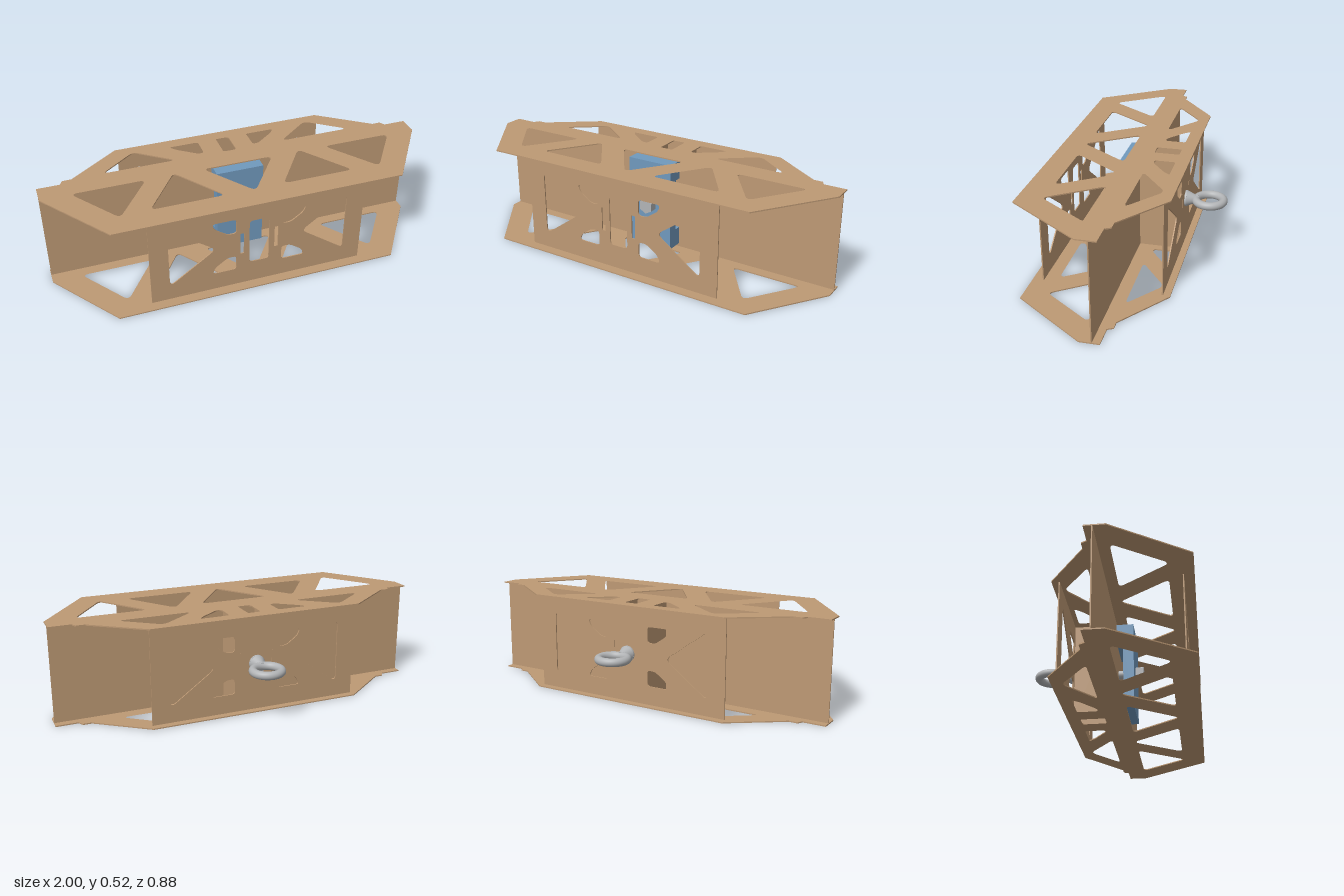
import * as THREE from 'three';

const wood = new THREE.MeshStandardMaterial({ color: 0xbd9974 });
wood.name = 'tan panel';
const blue = new THREE.MeshStandardMaterial({ color: 0x7099bd });
blue.name = 'blue bracket';
const steel = new THREE.MeshStandardMaterial({ color: 0xb2b4b6 });
steel.name = 'steel';

const T = 0.006; // sheet thickness
const H = 0.516; // overall height
const CY = H / 2; // bolt axis height

// Closed polygon with each corner cut back by d and rounded
function rounded(points, d) {
  const path = new THREE.Path();
  const pts = points.map(p => new THREE.Vector2(...p));
  pts.forEach((p, i) => {
    const prev = pts[(i + pts.length - 1) % pts.length];
    const next = pts[(i + 1) % pts.length];
    const a = p.clone().add(prev.clone().sub(p).setLength(d));
    const b = p.clone().add(next.clone().sub(p).setLength(d));
    if (i === 0) path.moveTo(a.x, a.y); else path.lineTo(a.x, a.y);
    path.quadraticCurveTo(p.x, p.y, b.x, b.y);
  });
  path.closePath();
  return path;
}

const mirrorX = pts => pts.map(([x, y]) => [-x, y]);
const mirrorY = pts => pts.map(([x, y]) => [x, H - y]);
const rect = (x0, y0, x1, y1) => [[x0, y0], [x1, y0], [x1, y1], [x0, y1]];

function sheet(outline, holes, depth = T) {
  const shape = new THREE.Shape(outline.map(p => new THREE.Vector2(...p)));
  shape.holes = holes;
  return new THREE.ExtrudeGeometry(shape, { depth, bevelEnabled: false, curveSegments: 6 });
}

function add(parent, name, geometry, material, x = 0, y = 0, z = 0) {
  const mesh = new THREE.Mesh(geometry, material);
  mesh.name = name;
  mesh.position.set(x, y, z);
  parent.add(mesh);
  return mesh;
}

// Horizontal truss plate, drawn in x and z
function plateGeometry() {
  const half = [[0.735, 0.437], [1, 0.065], [1, -0.034], [0.885, -0.034],
    [0.87, -0.062], [0.825, -0.062], [0.565, -0.256]];
  const outline = [...half, ...mirrorX(half).reverse()];
  const holes = [
    rounded([[-0.185, 0.065], [0.185, 0.065], [0, 0.325]], 0.035),
    rounded(rect(-0.035, -0.19, 0.035, -0.06), 0.012),
  ];
  const sideHoles = [
    [[0.48, 0.065], [0.85, 0.065], [0.665, 0.325]],
    [[0.15, 0.313], [0.52, 0.313], [0.335, 0.05]],
    [[0.29, -0.062], [0.67, -0.062], [0.48, -0.208]],
    [[0.135, -0.19], [0.29, -0.19], [0.26, -0.155], [0.165, -0.083], [0.135, -0.083]],
  ];
  for (const pts of sideHoles) {
    const d = pts.length === 3 ? 0.035 : 0.014;
    holes.push(rounded(pts, d), rounded(mirrorX(pts), d));
  }
  return sheet(outline, holes).rotateX(Math.PI / 2);
}

// Upright panel with triangular and corner cutouts
function panelGeometry(centreSlot) {
  const tri = [[0.465, 0.43], [0.465, 0.086], [0.225, CY]];
  const corner = [[0.12, 0.412], [0.245, 0.412], [0.23, 0.375], [0.165, 0.33], [0.12, 0.33]];
  const holes = [
    rounded(tri, 0.035), rounded(mirrorX(tri), 0.035),
  ];
  for (const pts of [corner, mirrorX(corner)]) {
    holes.push(rounded(pts, 0.018), rounded(mirrorY(pts), 0.018));
  }
  if (centreSlot) {
    holes.push(rounded(rect(-0.052, 0.13, 0.052, 0.386), 0.02));
    for (const s of [-0.09, 0.09]) {
      holes.push(rounded(rect(s - 0.01, 0.196, s + 0.01, 0.32), 0.002));
    }
  }
  return sheet(rect(-0.56, T, 0.56, H - T), holes);
}

export function createModel() {
  const model = new THREE.Group();
  model.name = 'trussBox';

  // Top and bottom plates
  const plate = plateGeometry();
  add(model, 'topPlate', plate, wood, 0, H, 0);
  add(model, 'bottomPlate', plate, wood, 0, T, 0);

  // Upright panels
  add(model, 'frontPanel', panelGeometry(true), wood, 0, 0, 0.38);
  add(model, 'backPanel', panelGeometry(false), wood, 0, 0, -0.221);
  add(model, 'middlePanel', new THREE.BoxGeometry(1.998, H - 2 * T, T), wood, 0, CY, 0.006);

  // Ribs either side of the bolt, with tabs showing through the back panel
  for (const s of [-1, 1]) {
    const rib = new THREE.Group();
    rib.name = s > 0 ? 'leftRib' : 'rightRib';
    model.add(rib);
    add(rib, 'ribSheet', new THREE.BoxGeometry(T, H - 2 * T, 0.218), wood, s * 0.09, CY, -0.106);
    add(rib, 'ribTab', new THREE.BoxGeometry(0.016, 0.12, 0.008), wood, s * 0.09, CY, -0.218);
  }

  // C-shaped clamp bracket, profile drawn in z and y
  const profile = [[0.009, 0.024], [0.1, 0.024], [0.1, 0.494], [0.009, 0.494],
    [0.009, 0.398], [0.045, 0.398], [0.045, 0.12], [0.009, 0.12]];
  const clamp = sheet(profile, [], 0.25).rotateY(-Math.PI / 2);
  add(model, 'clampBracket', clamp, blue, 0.125, 0, 0);

  // Eye bolt along z
  const bolt = new THREE.Group();
  bolt.name = 'eyeBolt';
  bolt.position.y = CY;
  model.add(bolt);
  const shank = new THREE.CylinderGeometry(0.022, 0.022, 0.39, 24).rotateX(Math.PI / 2);
  add(bolt, 'shank', shank, steel, 0, 0, -0.095);
  const nut = new THREE.CylinderGeometry(0.041, 0.041, 0.042, 6).toNonIndexed();
  nut.computeVertexNormals();
  nut.rotateX(Math.PI / 2);
  add(bolt, 'hexNut', nut, steel, 0, 0, 0.121);
  const flare = new THREE.CylinderGeometry(0.042, 0.022, 0.047, 32).rotateX(Math.PI / 2);
  add(bolt, 'collarCone', flare, steel, 0, 0, -0.2525);
  const rim = new THREE.CylinderGeometry(0.042, 0.042, 0.009, 32).rotateX(Math.PI / 2);
  add(bolt, 'collarRim', rim, steel, 0, 0, -0.2255);
  const ring = new THREE.TorusGeometry(0.0715, 0.0215, 20, 48).rotateX(Math.PI / 2);
  add(bolt, 'ring', ring, steel, 0, 0, -0.35);

  return model;
}
